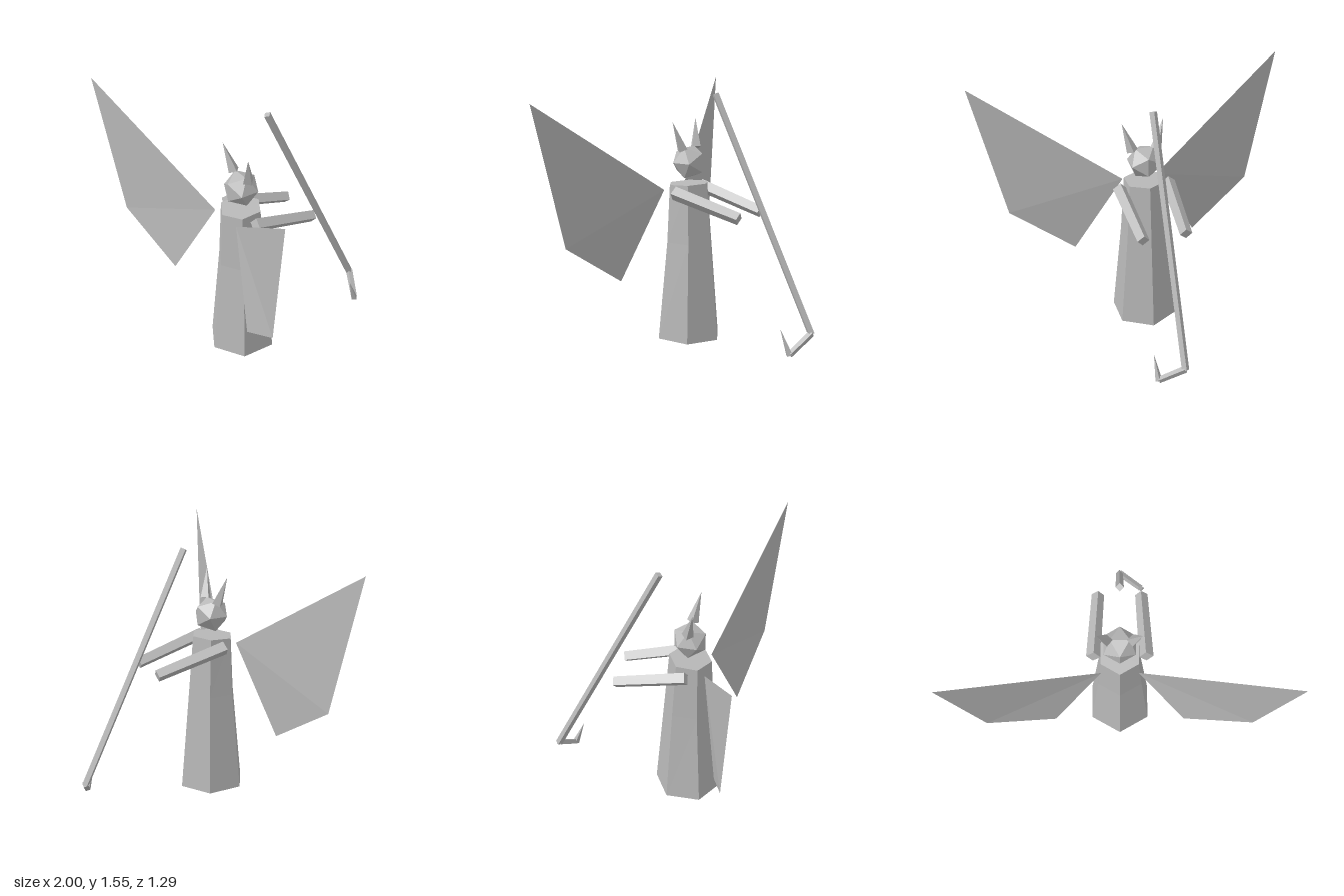
import * as THREE from 'three';

const grey = new THREE.MeshStandardMaterial({ color: 0xb8b8b8, side: THREE.DoubleSide });
grey.name = 'plain grey';

// Faceted mesh: every face gets its own normal
function facet(name, geometry) {
  const geo = geometry.index ? geometry.toNonIndexed() : geometry;
  geo.computeVertexNormals();
  const mesh = new THREE.Mesh(geo, grey);
  mesh.name = name;
  return mesh;
}

// Tapered bar running from point a to point b
function bar(name, a, b, ra, rb, sides = 4) {
  const from = new THREE.Vector3(...a), to = new THREE.Vector3(...b);
  const dir = to.clone().sub(from);
  const geo = new THREE.CylinderGeometry(rb, ra, dir.length(), sides);
  const turn = new THREE.Quaternion().setFromUnitVectors(new THREE.Vector3(0, 1, 0), dir.clone().normalize());
  geo.applyQuaternion(turn);
  const mid = from.add(to).multiplyScalar(0.5);
  geo.translate(mid.x, mid.y, mid.z);
  return facet(name, geo);
}

// Six-sided robe, flaring below the waist, with slightly tilted ends
function robe() {
  const rings = [
    { y: 0.005, z: 0.245, r: 0.211, tilt: 0.024 },
    { y: 0.62, z: 0.235, r: 0.154, tilt: 0 },
    { y: 0.981, z: 0.238, r: 0.13, tilt: -0.05 },
  ];
  const geo = new THREE.CylinderGeometry(1, 1, 2, 6, 2);
  const p = geo.attributes.position;
  for (let i = 0; i < p.count; i++) {
    const ring = rings[Math.round(p.getY(i)) + 1];
    const dz = p.getZ(i) * ring.r;
    p.setXYZ(i, p.getX(i) * ring.r, ring.y + dz * ring.tilt, ring.z + dz);
  }
  return facet('robe', geo);
}

// Thin wing folded along the line from its root to its outer corner
function wing(name, s) {
  const root = [s * 0.11, 0.943, 0.346], tip = [s, 1.54, 0.643];
  const corner = [s * 0.8, 0.68, 0.577], low = [s * 0.4, 0.41, 0.475];
  const faces = s > 0 ? [root, corner, tip, root, low, corner] : [root, tip, corner, root, corner, low];
  const geo = new THREE.BufferGeometry();
  geo.setAttribute('position', new THREE.Float32BufferAttribute(faces.flat(), 3));
  return facet(name, geo);
}

export function createModel() {
  const model = new THREE.Group();
  model.name = 'wingedFigure';
  model.add(robe());

  // Head
  const head = facet('head', new THREE.IcosahedronGeometry(0.11, 0));
  head.position.set(0, 1.1125, 0.232);
  model.add(head);

  // Paired parts
  for (const s of [1, -1]) {
    const side = s > 0 ? 'left' : 'right';
    model.add(
      bar(side + 'Horn', [s * 0.075, 1.195, 0.232], [s * 0.13, 1.37, 0.268], 0.036, 0),
      bar(side + 'Arm', [s * 0.157, 0.94, 0.243], [s * 0.133, 0.822, -0.197], 0.043, 0.038),
      wing(side + 'Wing', s),
    );
  }

  // Scythe: long shaft, bent neck and pointed blade
  model.add(
    bar('scytheShaft', [0, 1.54, 0.043], [0, 0.142, -0.622], 0.023, 0.023),
    bar('scytheNeck', [0, 0.148, -0.622], [0.145, 0.045, -0.553], 0.022, 0.02),
    bar('scytheBlade', [0.145, 0.04, -0.553], [0.16, 0.2, -0.496], 0.022, 0),
  );
  return model;
}
